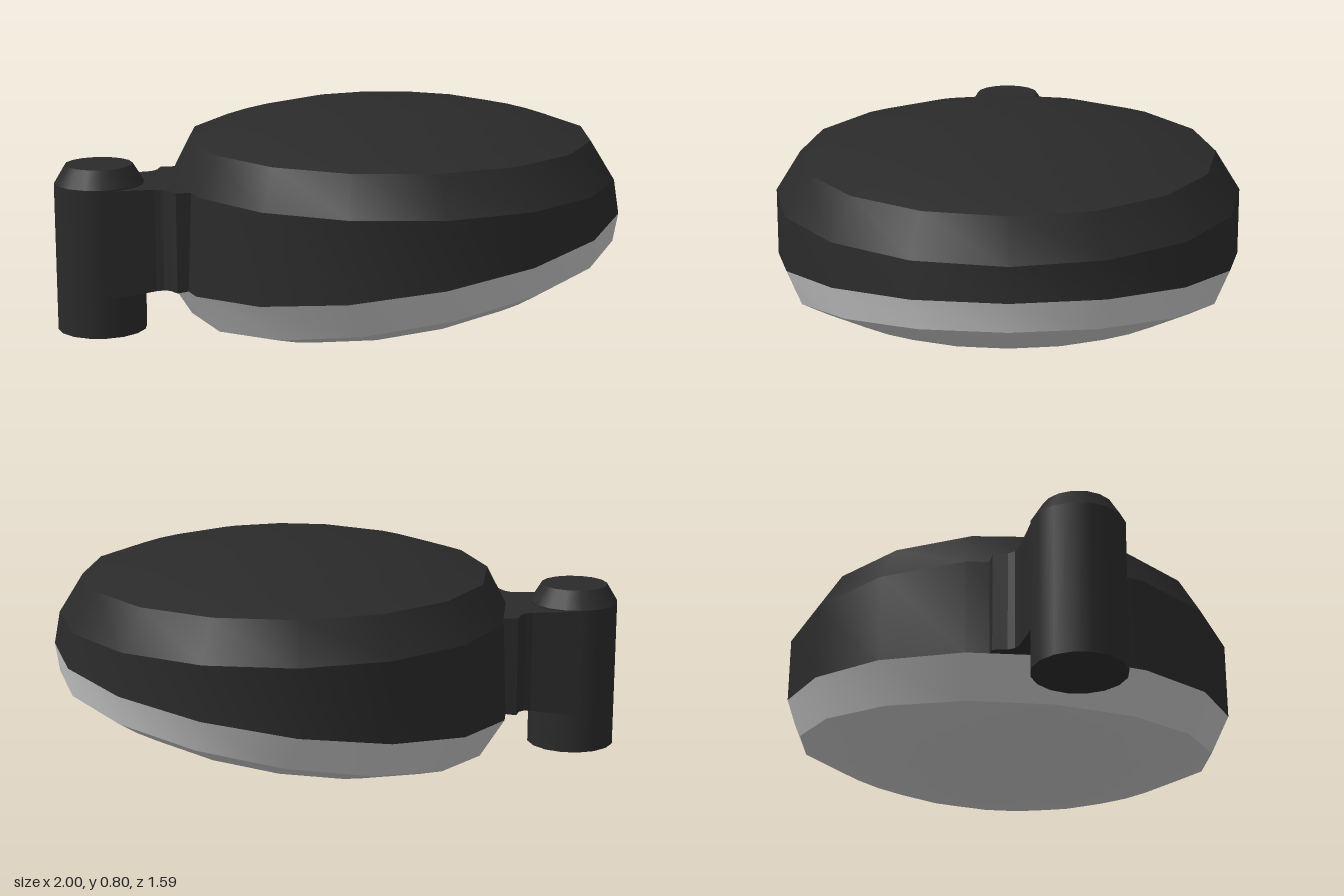
import * as THREE from 'three';

const SIDES = 16;
const dark = new THREE.MeshStandardMaterial({ color: 0x2a2a2a });
dark.name = 'dark casing';
const grey = new THREE.MeshStandardMaterial({ color: 0xc6c6c6 });
grey.name = 'pale glass';

// A ring is an ellipse [centre x, centre y, radius x, radius z, slope along x].
// Lofts rings from top to bottom into one smooth skin.
function loft(rings) {
  const pos = [], index = [];
  rings.forEach(([cx, cy, rx, rz, slope]) => {
    for (let i = 0; i < SIDES; i++) {
      const a = (i / SIDES) * Math.PI * 2;
      const dx = rx * Math.cos(a);
      pos.push(cx + dx, cy + slope * dx, rz * Math.sin(a));
    }
  });
  for (let r = 0; r < rings.length - 1; r++) {
    for (let i = 0; i < SIDES; i++) {
      const j = (i + 1) % SIDES;
      const p0 = r * SIDES + i, p1 = r * SIDES + j;
      index.push(p0, p1, p0 + SIDES, p1, p1 + SIDES, p0 + SIDES);
    }
  }
  const g = new THREE.BufferGeometry();
  g.setAttribute('position', new THREE.Float32BufferAttribute(pos, 3));
  g.setIndex(index);
  g.computeVertexNormals();
  return g;
}

// Rings of a shallow dome rising from a base ring to an apex offset (ax, ay).
function dome([cx, cy, rx, rz, slope], ax, ay) {
  return [0, 0.2, 0.4, 0.6, 0.75, 0.88, 1].map((s) => {
    const h = 1 - Math.pow(s, 2.15);
    return [cx + ax * h, cy + ay * h, rx * s, rz * s, slope * s ** 0];
  });
}

export function createModel() {
  const model = new THREE.Group();
  model.name = 'wallLamp';
  const add = (parent, name, geometry, material) => {
    const mesh = new THREE.Mesh(geometry, material);
    mesh.name = name;
    parent.add(mesh);
    return mesh;
  };

  // Lamp head: level on top, sloping underneath
  const head = new THREE.Group();
  head.name = 'lampHead';
  model.add(head);
  const crown = [0.18, 0.69, 0.71, 0.71, 0];
  const shoulder = [0.187, 0.555, 0.787, 0.795, 0];
  const skirt = [0.19, 0.324, 0.805, 0.796, 0.147];
  const rim = [0.225, 0.206, 0.755, 0.742, 0.179];
  add(head, 'topDome', loft(dome(crown, 0, 0.12)), dark);
  add(head, 'topBevel', loft([crown, shoulder]), dark);
  add(head, 'casingWall', loft([shoulder, skirt]), dark);
  add(head, 'glassRim', loft([skirt, rim]), grey);
  add(head, 'glassLens', loft(dome(rim, 0.03, -0.17).reverse()), grey);

  // Mounting post with a chamfered cap
  const post = new THREE.Group();
  post.name = 'mountingPost';
  post.position.x = -0.845;
  model.add(post);
  add(post, 'postShaft', new THREE.CylinderGeometry(0.155, 0.155, 0.52, 16), dark).position.y = 0.3;
  add(post, 'postCap', new THREE.CylinderGeometry(0.117, 0.155, 0.063, 16), dark).position.y = 0.5915;

  // Arm outline seen from above, flaring into the head
  const half = [[-0.845, 0.153], [-0.67, 0.153], [-0.645, 0.16], [-0.625, 0.18], [-0.607, 0.227], [-0.54, 0.227]];
  const outline = [...half, ...half.map(([x, z]) => [x, -z]).reverse()];
  const shape = new THREE.Shape(outline.map(([x, z]) => new THREE.Vector2(x, z)));
  const arm = new THREE.ExtrudeGeometry(shape, { depth: 1, bevelEnabled: false });
  arm.rotateX(-Math.PI / 2);
  // Level top, underside following the slope of the head
  const p = arm.attributes.position;
  for (let i = 0; i < p.count; i++) {
    p.setY(i, p.getY(i) > 0.5 ? 0.556 : 0.207 + 0.13 * (p.getX(i) + 0.61));
  }
  arm.computeVertexNormals();
  add(model, 'arm', arm, dark);

  return model;
}
